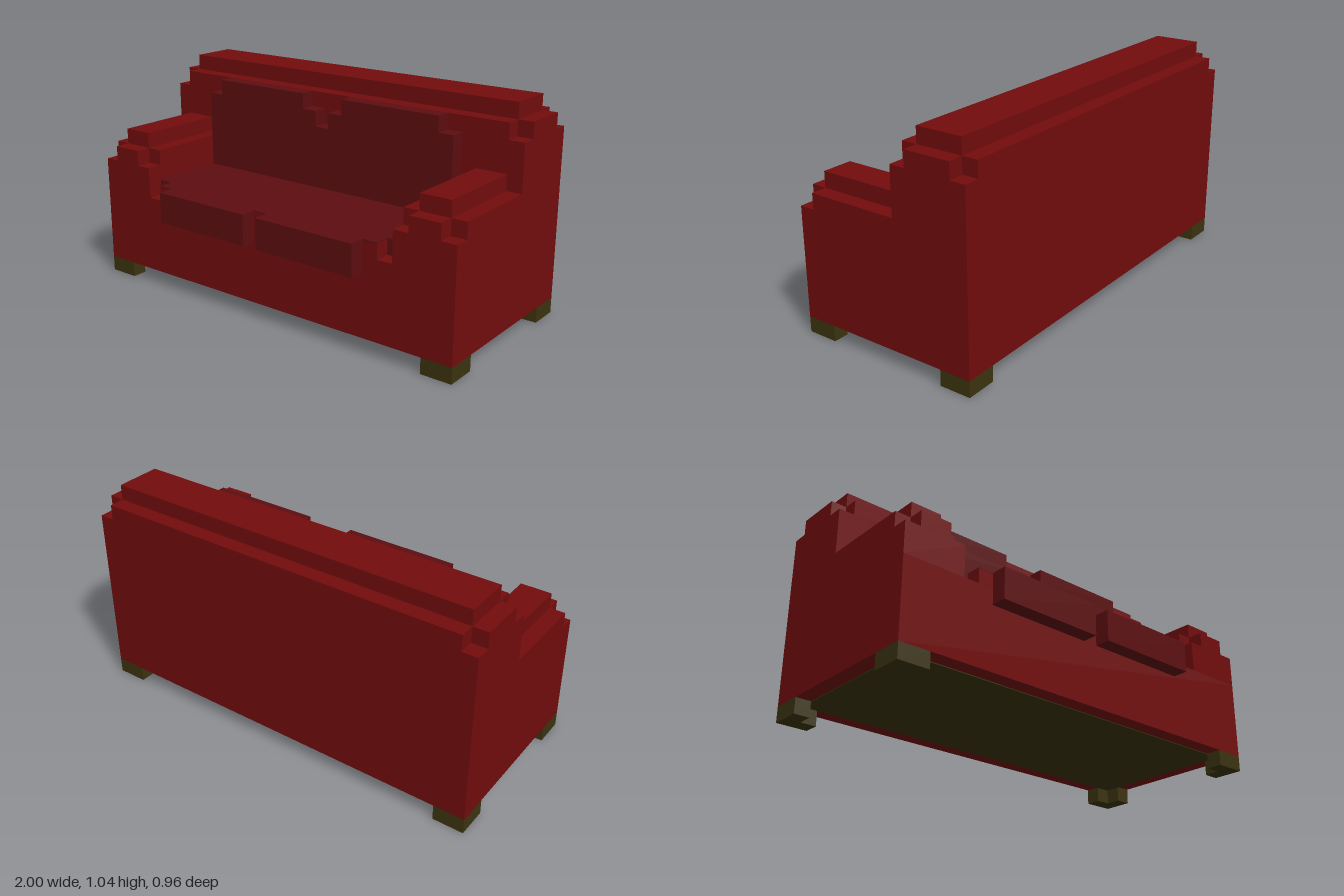
import * as THREE from 'three';

// One block of the sofa's grid; the sofa is 27 blocks wide
const U = 2 / 27;

export function createModel() {
  const sofa = new THREE.Group();
  sofa.name = 'sofa';
  const mat = (name, color) => {
    const m = new THREE.MeshStandardMaterial({ color });
    m.name = name;
    return m;
  };
  const red = mat('red upholstery', 0x720c0d);
  const dark = mat('dark red cushion', 0x5d0e10);
  const wood = mat('dark olive wood', 0x3b330f);

  // Box between two corners, measured in blocks
  function box(name, m, x0, x1, y0, y1, z0, z1, parent = sofa) {
    const g = new THREE.BoxGeometry((x1 - x0) * U, (y1 - y0) * U, (z1 - z0) * U);
    const mesh = new THREE.Mesh(g, m);
    mesh.position.set((x0 + x1) / 2 * U, (y0 + y1) / 2 * U, (z0 + z1) / 2 * U);
    mesh.name = name;
    parent.add(mesh);
  }
  // Same box on either side of the centre
  function pair(name, m, x0, x1, ...rest) {
    box(name + 'Left', m, x0, x1, ...rest);
    box(name + 'Right', m, -x1, -x0, ...rest);
  }

  // Base and wooden underside
  box('base', red, -13.5, 13.5, 1, 6, -6.5, 5.5);
  box('underside', wood, -12.5, 12.5, 0.95, 1, -5.5, 4.5);

  // L-shaped feet at the four corners
  for (const [end, zOut, zMid, zIn] of [['front', 5.5, 4.5, 3.5], ['back', -6.5, -5.5, -4.5]]) {
    const lo = Math.min, hi = Math.max;
    pair(end + 'Foot', wood, 11.5, 13.5, 0, 1, lo(zOut, zMid), hi(zOut, zMid));
    pair(end + 'FootSide', wood, 12.5, 13.5, 0, 1, lo(zMid, zIn), hi(zMid, zIn));
  }

  // Backrest with stepped, rounded top
  box('backrest', red, -13.5, 13.5, 6, 12, -6.5, -1.5);
  box('backrestShoulder', red, -12.5, 12.5, 12, 13, -6.5, -1.5);
  pair('backrestEnd', red, 12.5, 13.5, 12, 13, -5.5, -2.5);
  box('backrestTop', red, -12.5, 12.5, 13, 14, -5.5, -2.5);

  // Armrests, stepped at the front and along both sides
  pair('arm', red, 9.5, 13.5, 6, 8, -1.5, 5.5);
  pair('armShoulder', red, 9.5, 13.5, 8, 9, -1.5, 4.5);
  pair('armFront', red, 10.5, 12.5, 8, 9, 4.5, 5.5);
  pair('armTop', red, 10.5, 12.5, 9, 10, -1.5, 4.5);

  // Seat with a red front edge under the cushion top
  box('seat', dark, -9.5, 9.5, 6, 7, -1.5, 4.5);
  box('seatEdge', red, -8.5, 8.5, 6, 6.92, 4.5, 5.5);
  box('seatEdgeTop', dark, -8.5, 8.5, 6.92, 7, 4.5, 5.5);
  pair('seatCushionFront', dark, 0.5, 7.5, 5, 7, 5.5, 6.5);

  // Back cushions, parted at the top middle
  box('backCushion', dark, -9.5, 9.5, 7, 11, -1.5, -0.5);
  pair('backCushionUpper', dark, 0.5, 9.5, 11, 12, -1.5, -0.5);
  pair('backCushionTop', dark, 1.5, 8.5, 12, 13, -1.5, -0.5);

  return sofa;
}
